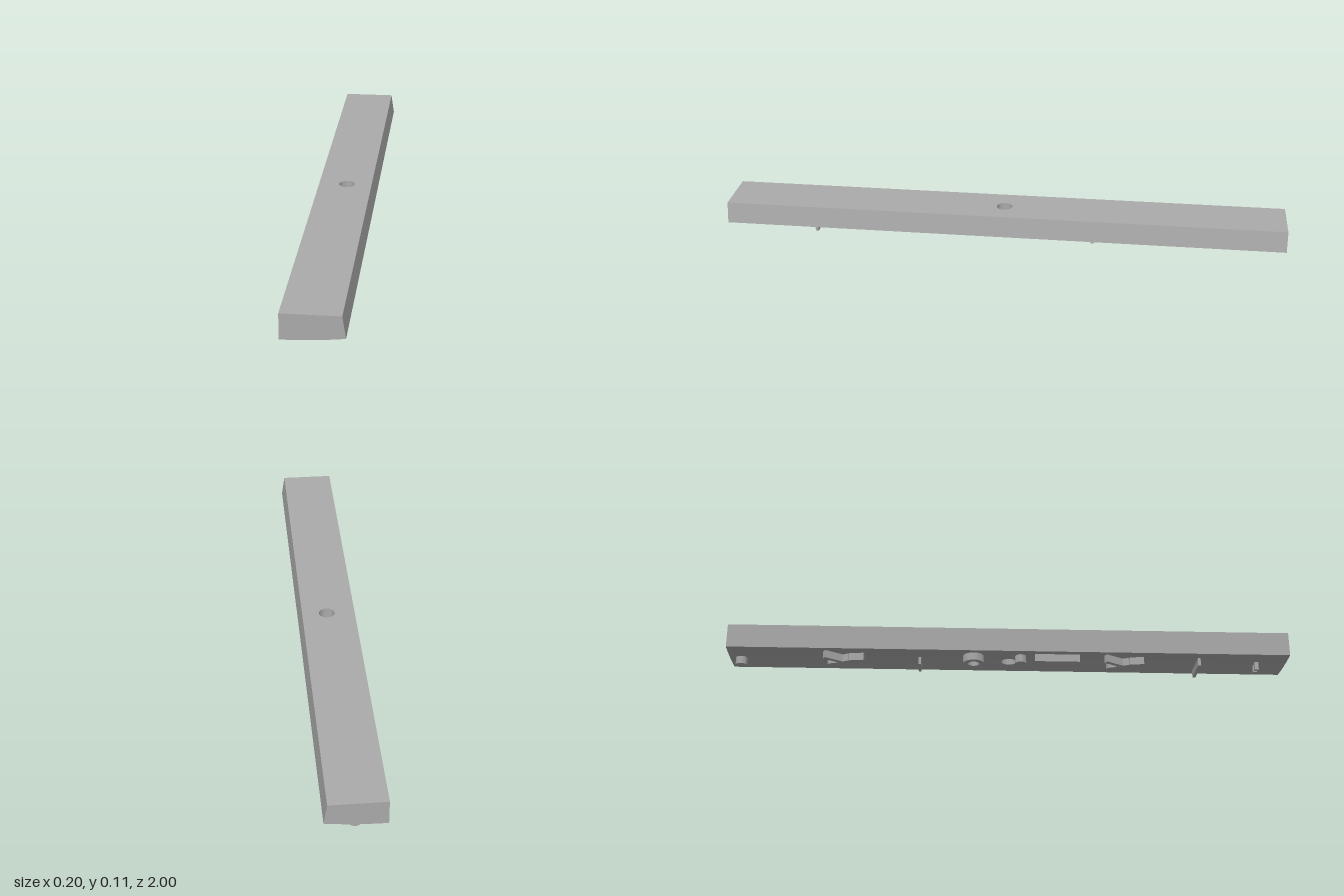
import * as THREE from 'three';
import { toCreasedNormals } from 'three/addons/utils/BufferGeometryUtils.js';

const HALF = 0.1, TOP = 0.115, HOLE = 0.028, RELIEF = 0.028;

// Gently curved underside and slanted left edge of the bar
const under = (x) => RELIEF + 0.013 * ((x + HALF) / (2 * HALF)) ** 2;
const topX = (x) => -HALF + (x + HALF) * 0.945;

function barGeometry() {
  const pos = [];
  const strip = (a, b) => {
    for (let i = 0; i < a.length - 1; i++) {
      pos.push(...a[i], ...a[i + 1], ...b[i + 1], ...a[i], ...b[i + 1], ...b[i]);
    }
  };
  const xs = Array.from({ length: 17 }, (_, i) => -HALF + (2 * HALF * i) / 16);
  const low = (z) => xs.map((x) => [x, under(x), z]);
  const high = (z) => xs.map((x) => [topX(x), TOP, z]);

  // End faces
  strip(low(1), high(1));
  strip(high(-1), low(-1));
  // Top and underside on both sides of the central hole
  for (const [z0, z1] of [[-1, -HALF], [HALF, 1]]) {
    strip(low(z0), low(z1));
    strip(high(z1), high(z0));
  }
  // Long side walls
  const right = (z) => [[HALF, under(HALF), z], [topX(HALF), TOP, z]];
  const left = (z) => [[-HALF, TOP, z], [-HALF, under(-HALF), z]];
  strip(right(-1), right(1));
  strip(left(-1), left(1));

  // Square centre section around the round hole
  const circle = [], square = [];
  for (let i = 0; i <= 32; i++) {
    const c = Math.cos((i * Math.PI) / 16), s = Math.sin((i * Math.PI) / 16);
    const k = HALF / Math.max(Math.abs(c), Math.abs(s));
    circle.push([c * HOLE, s * HOLE]);
    square.push([c * k, s * k]);
  }
  const bottom = (pts) => pts.map(([x, z]) => [x, under(x), z]);
  const circleTop = circle.map(([x, z]) => [x, TOP, z]);
  strip(circleTop, square.map(([x, z]) => [topX(x), TOP, z]));
  strip(bottom(square), bottom(circle));
  strip(bottom(circle), circleTop);

  const g = new THREE.BufferGeometry();
  g.setAttribute('position', new THREE.Float32BufferAttribute(pos, 3));
  return toCreasedNormals(g, 0.4);
}

// Footprint pulled down from the underside, following its curve
function reliefGeometry(shape) {
  const g = new THREE.ExtrudeGeometry(shape, { depth: 1, bevelEnabled: false, curveSegments: 12 });
  g.rotateX(-Math.PI / 2);
  const p = g.attributes.position;
  for (let i = 0; i < p.count; i++) {
    p.setY(i, under(p.getX(i)) + (p.getY(i) > 0.5 ? 0.003 : -RELIEF));
  }
  return toCreasedNormals(g, 0.6);
}

function discShape(x, z, r, inner = 0) {
  const s = new THREE.Shape().absarc(x, -z, r, 0, Math.PI * 2, false);
  if (inner) s.holes.push(new THREE.Path().absarc(x, -z, inner, 0, Math.PI * 2, true));
  return s;
}

function ribShape(x0, z0, x1, z1, width) {
  const a = new THREE.Vector2(x0, -z0), b = new THREE.Vector2(x1, -z1);
  const d = b.clone().sub(a).normalize().multiplyScalar(width / 2);
  const n = new THREE.Vector2(-d.y, d.x);
  return new THREE.Shape([
    a.clone().sub(n), b.clone().sub(n), b.clone().add(n), a.clone().add(n),
  ]);
}

export function createModel() {
  const group = new THREE.Group();
  const grey = new THREE.MeshStandardMaterial({ color: 0xaaaaaa });
  grey.name = 'plain grey';
  const add = (name, geometry) => {
    const mesh = new THREE.Mesh(geometry, grey);
    mesh.name = name;
    group.add(mesh);
  };
  const relief = (name, shape) => add(name, reliefGeometry(shape));

  add('bar', barGeometry());

  // Studs and ring
  relief('backStud', discShape(0.002, -0.958, 0.021));
  relief('ring', discShape(-0.045, -0.128, 0.038, 0.02));
  relief('centreStud', discShape(-0.052, 0.04, 0.02));

  // Ribs across and along the bar
  relief('shortCrossRib', ribShape(-0.035, -0.32, 0.044, -0.32, 0.01));
  relief('longCrossRib', ribShape(-0.062, 0.68, 0.066, 0.68, 0.01));
  relief('lengthwiseRib', ribShape(-0.07, 0.09, -0.07, 0.25, 0.014));

  // Repeated cluster of a stud, a slanted rib and a stub
  for (const z of [-0.63, 0.37]) {
    relief('clusterStud', discShape(-0.01, z, 0.02));
    relief('clusterRib', ribShape(-0.035, z + 0.04, -0.077, z - 0.027, 0.016));
    relief('clusterLink', ribShape(-0.022, z, -0.05, z + 0.06, 0.014));
    relief('clusterStub', ribShape(-0.05, z + 0.06, -0.056, z + 0.112, 0.018));
  }

  // Pair of small front posts
  for (const x of [0.003, -0.025]) {
    relief('frontPost', ribShape(x - 0.008, 0.892, x + 0.008, 0.892, 0.014));
  }
  return group;
}
